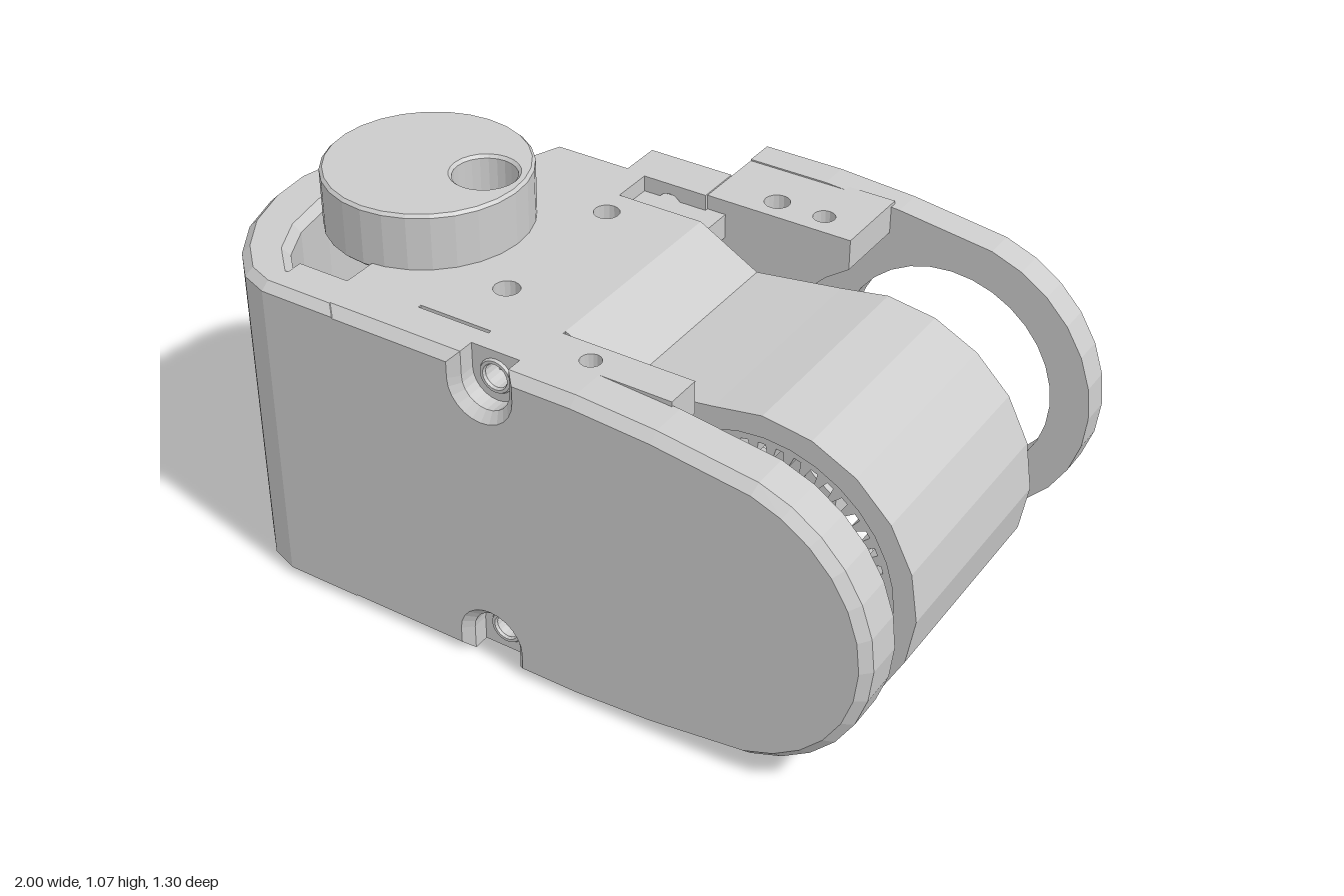
import * as THREE from 'three';

const H = 0.915, MID = H / 2;      // case height and its middle
const GX = 0.58, GR = 0.42;        // gear axis and radius of the round end
const material = new THREE.MeshStandardMaterial({ color: 0xcccccc, flatShading: true, side: THREE.DoubleSide });

const polygon = (pts) => new THREE.Shape(pts.map(([x, y]) => new THREE.Vector2(x, y)));
const rect = (x0, x1, y0, y1) => polygon([[x0, y0], [x1, y0], [x1, y1], [x0, y1]]);
const circlePts = (x, y, r, n = 32) => Array.from({ length: n }, (_, i) => {
  const a = (i / n) * Math.PI * 2;
  return [x + r * Math.cos(a), y + r * Math.sin(a)];
});
const circle = (x, y, r, n) => polygon(circlePts(x, y, r, n));
const cut = (shape, ...holes) => { shape.holes.push(...holes); return shape; };

// Extrusion between two depths; a bevel stays inside the outline
function extrude(shape, a, b, bevel = 0) {
  const g = new THREE.ExtrudeGeometry(shape, {
    depth: b - a - 2 * bevel, curveSegments: 6, bevelEnabled: bevel > 0,
    bevelSize: bevel, bevelThickness: bevel, bevelOffset: -bevel, bevelSegments: 1,
  });
  return g.translate(0, 0, a + bevel);
}
// Same, for an outline in x/z raised from y0 to y1
const raise = (shape, y0, y1, bevel = 0) =>
  extrude(shape, -y1, -y0, bevel).rotateX(Math.PI / 2);

// Side outline with the round end; notches are cut in its long edges when asked
function sideOutline(x0, notched = false) {
  const s = new THREE.Shape();
  const n = 0.07, nx = -0.06, ny = 0.07;
  s.moveTo(x0, 0);
  if (notched) {
    s.lineTo(nx - n, 0);
    s.lineTo(nx - n, ny);
    s.absarc(nx, ny, n, Math.PI, 0, true);
    s.lineTo(nx + n, 0);
  }
  s.lineTo(0.2, 0);
  s.lineTo(0.42, 0.015);
  s.absarc(GX, MID, GR, -1.31, 1.31, false);
  s.lineTo(0.42, H - 0.015);
  s.lineTo(0.2, H);
  if (notched) {
    s.lineTo(nx + n, H);
    s.lineTo(nx + n, H - ny);
    s.absarc(nx, H - ny, n, 0, Math.PI, true);
    s.lineTo(nx - n, H);
  }
  s.lineTo(x0, H);
  return s;
}

export function createModel() {
  const model = new THREE.Group();
  const add = (name, geometry) => {
    const m = new THREE.Mesh(geometry, material);
    m.name = name;
    model.add(m);
    return m;
  };

  // Front cover: inner layer with screw holes, outer layer with notches
  add('coverInner', extrude(cut(sideOutline(-0.7),
    circle(-0.06, 0.07, 0.035, 16), circle(-0.06, H - 0.07, 0.035, 16)), 0.525, 0.58));
  add('coverOuter', extrude(sideOutline(-0.7, true), 0.555, 0.65, 0.025));
  for (const y of [0.07, H - 0.07]) {
    const ring = add('screwRing', new THREE.TorusGeometry(0.04, 0.008, 6, 20));
    ring.position.set(-0.06, y, 0.58);
  }

  // Curled wall at the end of the cover
  add('curledWall', raise(polygon([
    [-0.5, 0.65], [-0.72, 0.65], [-0.8, 0.62], [-0.88, 0.54], [-0.95, 0.43], [-0.99, 0.3], [-1, 0.18],
    [-0.975, 0.06], [-0.93, -0.03], [-0.86, -0.095], [-0.82, -0.08], [-0.82, 0.02], [-0.835, 0.12],
    [-0.845, 0.25], [-0.82, 0.38], [-0.77, 0.48], [-0.7, 0.55], [-0.5, 0.55]]), 0, H, 0.022));

  // Core: block with a large bore, a shallow valley, and the gear barrel
  const lo = 0.09, hi = H - lo;
  const core = new THREE.Shape();
  core.moveTo(-0.55, lo);
  for (const [x, y] of [[0, lo], [0, 0], [0.03, 0], [0.2, 0.095]]) core.lineTo(x, y);
  core.absarc(GX, MID, GR, -1.9, 1.9, false);
  for (const [x, y] of [[0.2, H - 0.095], [0.03, H], [0, H], [0, hi], [-0.55, hi]]) core.lineTo(x, y);
  add('coreAndBarrel', extrude(cut(core, circle(-0.17, MID, 0.36), circle(GX, MID, 0.36)), -0.19, 0.42));

  // Internal gear
  const teeth = [], N = 44;
  for (let i = 0; i < N; i++) {
    [[0, 0.335], [0.4, 0.335], [0.55, 0.3], [0.85, 0.3]].forEach(([t, r]) => {
      const a = ((i + t) / N) * Math.PI * 2;
      teeth.push([GX + r * Math.cos(a), MID + r * Math.sin(a)]);
    });
  }
  add('internalGear', extrude(cut(circle(GX, MID, 0.365, 44), polygon(teeth)), -0.11, 0.41));

  // Rear ring plate: stepped opening and a narrow groove
  add('ringPlateInner', extrude(cut(sideOutline(-0.03), circle(GX, MID, 0.31)), -0.625, -0.54));
  add('ringPlateOuter', extrude(cut(sideOutline(-0.03), circle(GX, MID, 0.33),
    rect(0.05, 0.08, 0.2, 0.72)), -0.65, -0.6, 0.024));

  // Parts repeated at the top and at the bottom
  for (const top of [true, false]) {
    const side = top ? 'top' : 'bottom';
    const Y = (y) => (top ? y : H - y);
    const slab = (shape, y0, y1) => raise(shape, Math.min(Y(y0), Y(y1)), Math.max(Y(y0), Y(y1)));
    const flip = (pts) => polygon(pts.map(([x, y]) => [x, Y(y)]));

    // Deck with screw holes and a shaft hole (a long slot underneath)
    const shaft = top ? circle(-0.42, 0.12, 0.045, 20)
      : polygon(circlePts(-0.42, 0.12, 0.075, 24).map(([x, z]) => [x + (x > -0.42 ? 0.06 : -0.04), z]));
    add(side + 'Deck', slab(cut(polygon([
      [-0.55, 0.55], [-0.55, -0.19], [0.03, -0.19], [0.03, 0.43], [0.4, 0.43], [0.4, 0.53], [-0.12, 0.53],
      [-0.12, 0.515], [-0.33, 0.515], [-0.33, 0.53], [-0.4, 0.55]]),
      circle(-0.2, -0.1, 0.035, 16), circle(-0.2, 0.34, 0.035, 16),
      circle(0.15, 0.49, 0.028, 16), shaft), hi, top ? H : H - 0.002));

    // Rear deck over the spacer
    add(side + 'RearDeck', slab(cut(rect(-0.03, 0.395, -0.56, -0.32),
      circle(0.14, -0.39, 0.035, 16), circle(0.28, -0.39, 0.03, 16)), hi, H - 0.004));

    // Spacers that join the plates to the core, hollowed around the gear axis
    const spacer = (y) => flip([[-0.03, hi], [0.395, hi], [0.33, 0.78], [0.27, 0.72], [0.22, y], [-0.03, y]]);
    add(side + 'RearSpacer', extrude(spacer(0.66), -0.55, -0.32));
    add(side + 'FrontSpacer', extrude(spacer(0.7), 0.43, 0.53));

    // Lugs with screw holes facing the back; the outer corner is cut off
    const lug = extrude(cut(flip([[-0.55, 0.8], [-0.46, 0.765], [-0.32, 0.765], [-0.22, 0.81], [-0.22, H], [-0.55, H]]),
      circle(-0.39, Y(0.84), 0.045, 20)), -0.32, -0.19);
    const p = lug.attributes.position;
    for (let i = 0; i < p.count; i++) if (p.getX(i) < -0.54 && p.getZ(i) < -0.3) p.setX(i, -0.5);
    add(side + 'Lug', lug);
    add(side + 'RearLug', extrude(cut(flip([[-0.28, 0.79], [-0.03, 0.765], [-0.03, H], [-0.28, H]]),
      circle(-0.14, Y(0.845), 0.04, 20)), -0.44, -0.31));

    // Sunken bridge between lug and core
    add(side + 'Bridge', slab(rect(-0.23, 0.025, -0.33, -0.18), 0.8, 0.87));
  }

  // Round knob with an off-centre hole
  add('knob', raise(cut(circle(-0.575, 0.155, 0.275, 28), circle(-0.42, 0.12, 0.085, 24)), 0.9, 1.07, 0.008));
  add('knobFloor', raise(cut(circle(-0.575, 0.155, 0.268, 28), circle(-0.42, 0.12, 0.045, 20)), 0.91, 0.96));

  return model;
}
